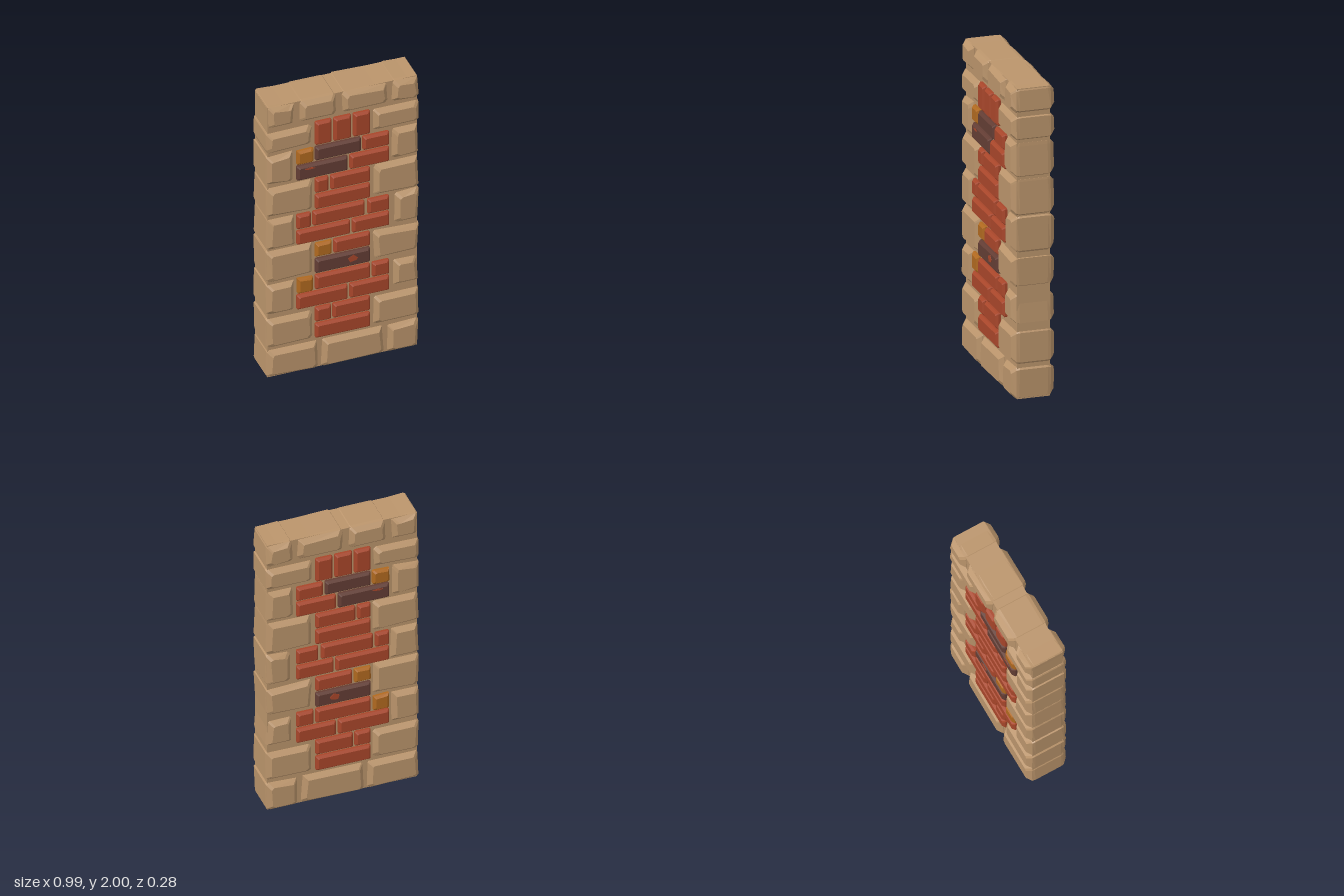
import * as THREE from 'three';

const mat = (name, color) => {
  const m = new THREE.MeshStandardMaterial({ color });
  m.name = name;
  m.flatShading = true;
  return m;
};

// Small seeded generator for the uneven stone edges
let seed = 7;
const rand = () => {
  seed = (seed * 16807) % 2147483647;
  return seed / 2147483647 - 0.5;
};

// Chamfered block running through the wall; layers are [z, inset] from back to front
function blockGeometry([x0, x1, y0, y1], layers, cut, wobble) {
  const corner = Array.from({ length: 8 }, () => [rand() * wobble, rand() * wobble]);
  const rings = layers.map(([z, inset]) => {
    const a = x0 + inset, b = x1 - inset, c = y0 + inset, d = y1 - inset;
    const loop = [
      [a + cut, c], [b - cut, c], [b, c + cut], [b, d - cut],
      [b - cut, d], [a + cut, d], [a, d - cut], [a, c + cut],
    ];
    return loop.map(([x, y], i) => [
      THREE.MathUtils.clamp(x + corner[i][0], -0.495, 0.495),
      THREE.MathUtils.clamp(y + corner[i][1], 0, 2),
      z,
    ]);
  });
  const pos = [];
  const tri = (...pts) => pts.forEach((p) => pos.push(...p));
  for (let k = 0; k < rings.length - 1; k++) {
    for (let i = 0; i < 8; i++) {
      const j = (i + 1) % 8;
      tri(rings[k][i], rings[k][j], rings[k + 1][j]);
      tri(rings[k][i], rings[k + 1][j], rings[k + 1][i]);
    }
  }
  const back = rings[0], front = rings[rings.length - 1];
  for (let i = 1; i < 7; i++) {
    tri(front[0], front[i], front[i + 1]);
    tri(back[0], back[i + 1], back[i]);
  }
  const g = new THREE.BufferGeometry();
  g.setAttribute('position', new THREE.Float32BufferAttribute(pos, 3));
  g.computeVertexNormals();
  return g;
}

const STONE_LAYERS = [[-0.138, 0.03], [-0.11, 0.004], [-0.09, 0], [0.09, 0], [0.11, 0.004], [0.138, 0.03]];
const BRICK_LAYERS = [[-0.135, 0.014], [-0.12, 0], [0.12, 0], [0.135, 0.014]];

// Stones: x0, x1, y0, y1
const STONES = [
  [-0.495, -0.16, 0, 0.2], [-0.14, 0.265, 0, 0.2], [0.29, 0.49, 0, 0.2],
  [-0.495, -0.195, 0.225, 0.435], [0.2, 0.495, 0.225, 0.435],
  [-0.495, -0.31, 0.46, 0.69], [0.325, 0.49, 0.48, 0.675],
  [-0.495, -0.19, 0.705, 0.93], [0.2, 0.495, 0.715, 0.915],
  [-0.495, -0.31, 0.94, 1.17], [0.335, 0.495, 0.945, 1.17],
  [-0.495, -0.195, 1.185, 1.405], [0.195, 0.495, 1.18, 1.405],
  [-0.495, -0.315, 1.425, 1.64], [0.32, 0.495, 1.425, 1.64],
  [-0.495, -0.205, 1.665, 1.815], [0.195, 0.495, 1.66, 1.82],
  [-0.49, -0.32, 1.84, 2], [-0.285, -0.045, 1.85, 2],
  [0, 0.29, 1.85, 2], [0.32, 0.495, 1.84, 2],
];

// Brick courses: y0, y1, then [x0, x1, colour]
const COURSES = [
  [0.225, 0.33, [-0.18, 0.175, 'r']],
  [0.345, 0.45, [-0.18, -0.078, 'r'], [-0.065, 0.175, 'r']],
  [0.465, 0.57, [-0.3, 0.03, 'r'], [0.045, 0.3, 'r']],
  [0.585, 0.69, [-0.3, -0.195, 'o'], [-0.18, 0.175, 'r'], [0.19, 0.3, 'r']],
  [0.705, 0.81, [-0.18, 0.175, 'd']],
  [0.825, 0.925, [-0.18, -0.075, 'o'], [-0.06, 0.175, 'r']],
  [0.945, 1.045, [-0.3, 0.045, 'r'], [0.06, 0.3, 'r']],
  [1.06, 1.165, [-0.3, -0.21, 'r'], [-0.195, 0.14, 'r'], [0.16, 0.3, 'r']],
  [1.18, 1.285, [-0.18, 0.175, 'r']],
  [1.3, 1.405, [-0.18, -0.095, 'r'], [-0.08, 0.175, 'r']],
  [1.42, 1.525, [-0.3, 0.03, 'd'], [0.045, 0.3, 'r']],
  [1.54, 1.64, [-0.3, -0.195, 'o'], [-0.18, 0.115, 'd'], [0.13, 0.3, 'r']],
  [1.655, 1.825, [-0.18, -0.075, 'r'], [-0.06, 0.052, 'r'], [0.068, 0.175, 'r']],
];

export function createModel() {
  seed = 7;
  const stone = mat('tan stone', 0xba946b);
  const colours = {
    r: mat('red brick', 0xa8462a),
    d: mat('dark brick', 0x633d34),
    o: mat('orange brick', 0xb0691f),
  };
  const names = { r: 'redBrick', d: 'darkBrick', o: 'orangeBrick' };
  const model = new THREE.Group();
  model.name = 'wallPanel';
  const add = (parent, name, geometry, material) => {
    const mesh = new THREE.Mesh(geometry, material);
    mesh.name = name;
    parent.add(mesh);
    return mesh;
  };
  const group = (name) => {
    const g = new THREE.Group();
    g.name = name;
    model.add(g);
    return g;
  };

  // Mortar core
  add(model, 'mortarCore', new THREE.BoxGeometry(0.972, 1.996, 0.21), stone).position.y = 0.998;

  // Stone surround
  const stones = group('stones');
  STONES.forEach((r) => add(stones, 'stone', blockGeometry(r, STONE_LAYERS, 0.012, 0.014), stone));

  // Brick infill
  const bricks = group('bricks');
  COURSES.forEach(([y0, y1, ...row]) => row.forEach(([x0, x1, c]) => {
    const wobble = c === 'o' ? 0.008 : 0;
    add(bricks, names[c], blockGeometry([x0, x1, y0, y1], BRICK_LAYERS, 0.006, wobble), colours[c]);
  }));

  // Worn red patches on the dark bricks, on both faces
  const patches = group('wornPatches');
  [[0.057, 0.765, 0.034, 0.027], [-0.22, 1.502, 0.036, 0.008]].forEach(([x, y, w, h]) => {
    const pts = [1, 0.75, 1, 0.7, 0.95, 0.8, 1, 0.7, 0.9].map((r, i) => {
      const a = (i / 9) * Math.PI * 2;
      return new THREE.Vector2(x + Math.cos(a) * r * w, y + Math.sin(a) * r * h);
    });
    const plate = new THREE.ExtrudeGeometry(new THREE.Shape(pts), { depth: 0.004, bevelEnabled: false });
    for (const z of [0.133, -0.137]) add(patches, 'wornPatch', plate, colours.r).position.z = z;
  });

  return model;
}
